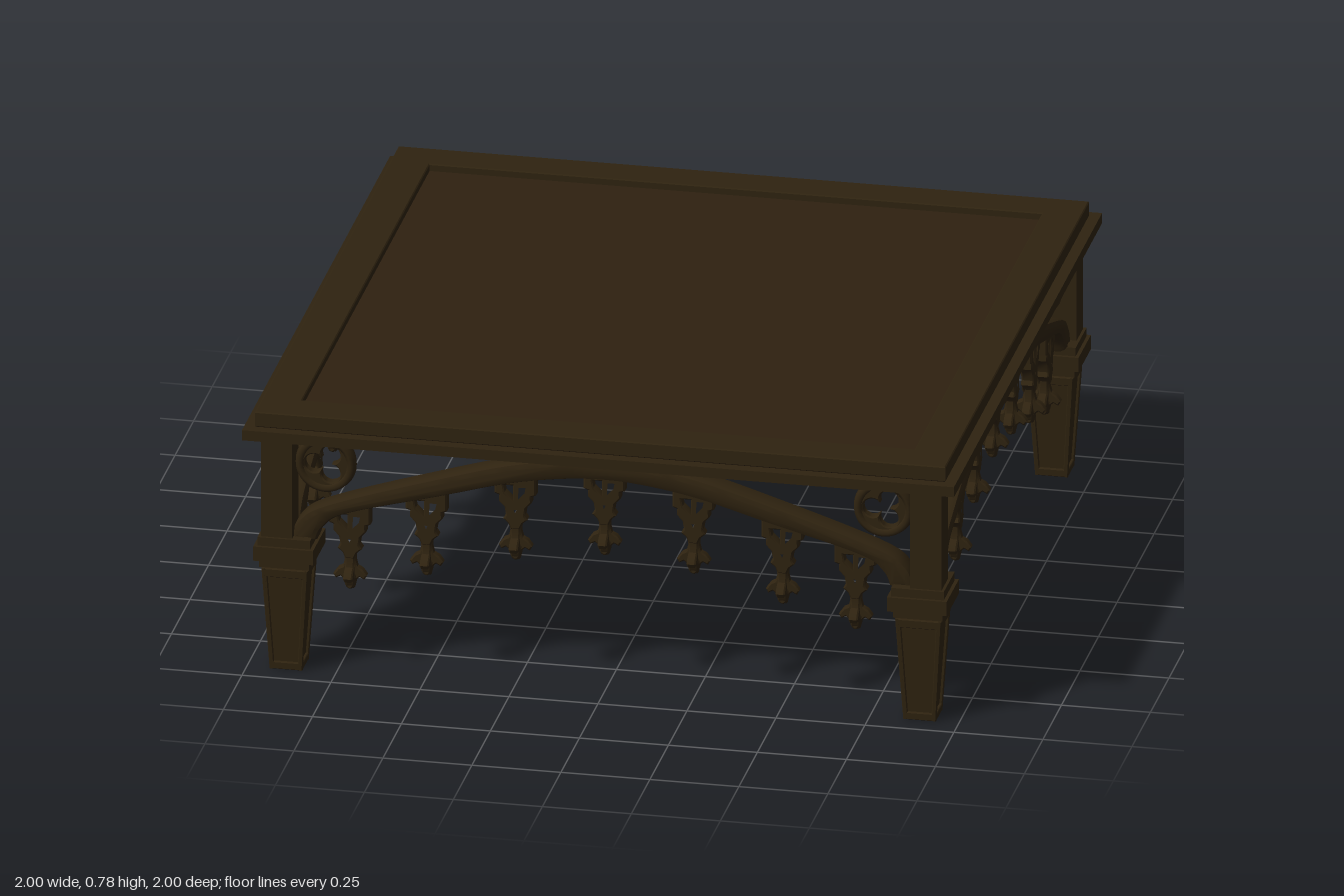
import * as THREE from 'three';
import { toCreasedNormals } from 'three/addons/utils/BufferGeometryUtils.js';

const mat = (name, color) => {
  const m = new THREE.MeshStandardMaterial({ color });
  m.name = name;
  return m;
};
const wood = mat('dark oak', 0x2f2310);
const panelWood = mat('panel oak', 0x2e2010);
const maroon = mat('maroon underside', 0x5a3a30);

const V = (x, y) => new THREE.Vector2(x, y);

function add(parent, name, geo, material, x = 0, y = 0, z = 0) {
  const m = new THREE.Mesh(geo, material);
  m.name = name;
  m.position.set(x, y, z);
  parent.add(m);
  return m;
}
const box = (w, h, d) => new THREE.BoxGeometry(w, h, d);

// Bevelled plate, centred on z = 0, that keeps the outline of its shape
function plate(shape, depth, bevel = 0, segs = 1) {
  const g = new THREE.ExtrudeGeometry(shape, {
    depth: depth - 2 * bevel, bevelEnabled: bevel > 0, bevelThickness: bevel,
    bevelSize: bevel, bevelOffset: -bevel, bevelSegments: segs, curveSegments: 20,
  });
  g.translate(0, 0, -depth / 2 + bevel);
  return toCreasedNormals(g, 0.6);
}
// Symmetric outline from its right half, listed top to bottom
const mirrored = (half) =>
  new THREE.Shape([...half, ...half.slice().reverse().map((p) => [-p[0], p[1]])].map((p) => V(...p)));

// Three-lobed opening traced from three overlapping circles
function trefoil(turn) {
  const pts = [];
  const d = 0.031, r = 0.027;
  for (let i = 0; i < 48; i++) {
    const a = (i / 48) * Math.PI * 2;
    const off = ((a + Math.PI / 3) % (Math.PI * 2 / 3)) - Math.PI / 3;
    const s = d * Math.sin(off);
    const rad = d * Math.cos(off) + Math.sqrt(Math.max(0, r * r - s * s));
    pts.push(V(rad * Math.cos(a + turn), rad * Math.sin(a + turn)));
  }
  return new THREE.Path(pts);
}

function squareShape(h) {
  return new THREE.Shape([V(-h, -h), V(h, -h), V(h, h), V(-h, h)]);
}

function tableTop() {
  const g = new THREE.Group();
  g.name = 'tableTop';
  add(g, 'lowerSlab', box(2, 0.03, 2), wood, 0, 0.715, 0);
  const rim = squareShape(0.97);
  rim.holes.push(squareShape(0.86));
  add(g, 'topRim', plate(rim, 0.045, 0.003), wood, 0, 0.7525, 0).rotation.x = -Math.PI / 2;
  add(g, 'recessedPanel', box(1.73, 0.025, 1.73), panelWood, 0, 0.742, 0);
  // Wavy-edged patch on the underside
  const pts = [];
  for (let i = 0; i < 120; i++) {
    const a = (i / 120) * Math.PI * 2;
    const s = 0.67 + 0.13 * Math.abs(Math.sin(2 * a)) ** 4 + 0.018 * Math.sin(9 * a) + 0.01 * Math.sin(23 * a);
    const k = s / Math.max(Math.abs(Math.cos(a)), Math.abs(Math.sin(a)));
    pts.push(V(k * Math.cos(a), k * Math.sin(a)));
  }
  add(g, 'undersidePatch', new THREE.ShapeGeometry(new THREE.Shape(pts)), maroon, 0, 0.697, 0).rotation.x = Math.PI / 2;
  return g;
}

// Corner leg: tapered foot with framed faces, stepped collar, square post
function leg() {
  const g = new THREE.Group();
  g.name = 'leg';
  const foot = new THREE.CylinderGeometry(0.057 * Math.SQRT2, 0.038 * Math.SQRT2, 0.31, 4).toNonIndexed();
  foot.rotateY(Math.PI / 4);
  foot.computeVertexNormals();
  add(g, 'footCore', foot, wood, 0, 0.155, 0);
  const outline = new THREE.Shape([V(-0.046, 0), V(0.046, 0), V(0.065, 0.305), V(-0.065, 0.305)]);
  outline.holes.push(new THREE.Path([V(-0.034, 0.022), V(0.034, 0.022), V(0.049, 0.28), V(-0.049, 0.28)]));
  const frame = plate(outline, 0.01, 0.002);
  for (let i = 0; i < 4; i++) {
    const face = new THREE.Group();
    face.name = 'footFace';
    face.rotation.y = i * Math.PI / 2;
    add(face, 'footFrame', frame, wood, 0, 0, 0.041).rotation.x = 0.062;
    g.add(face);
  }
  // [width, bottom, top] of the collar steps
  for (const [w, a, b] of [[0.14, 0.31, 0.335], [0.168, 0.333, 0.375], [0.148, 0.373, 0.4]])
    add(g, 'collar', box(w, b - a, w), wood, 0, (a + b) / 2, 0);
  add(g, 'post', box(0.088, 0.31, 0.088), wood, 0.022, 0.55, 0.022);
  return g;
}

// Arched rail drawn between an outer and an inner curve
const OUTER = [[-0.875, 0.39], [-0.855, 0.45], [-0.77, 0.505], [-0.47, 0.605], [-0.23, 0.672], [0, 0.698]];
const INNER = [[-0.805, 0.39], [-0.785, 0.432], [-0.72, 0.475], [-0.47, 0.545], [-0.23, 0.61], [0, 0.636]];
function archCurve(half) {
  const all = [...half, ...half.slice(0, -1).reverse().map((p) => [-p[0], p[1]])];
  return new THREE.SplineCurve(all.map((p) => V(...p))).getPoints(60);
}
const innerPoints = archCurve(INNER);
const archGeo = plate(new THREE.Shape([...archCurve(OUTER), ...innerPoints.slice().reverse()]), 0.08, 0.018, 2);

// Hanging ornament: pierced bracket and a crossed leaf drop
const bracketShape = mirrored([[0.058, 0], [0.058, -0.055], [0.045, -0.06], [0.046, -0.078], [0.03, -0.095],
  [0.026, -0.118], [0.034, -0.13], [0.02, -0.142], [0.012, -0.16]]);
for (const s of [-1, 1])
  bracketShape.holes.push(new THREE.Path([V(s * 0.006, -0.03), V(s * 0.034, -0.03), V(s * 0.03, -0.052), V(s * 0.006, -0.075)]));
bracketShape.holes.push(new THREE.Path([V(-0.009, -0.098), V(0.009, -0.098), V(0, -0.118)]));
const bracketGeo = plate(bracketShape, 0.036, 0.004);
const leafGeo = plate(mirrored([[0.018, -0.135], [0.015, -0.165], [0.02, -0.185], [0.034, -0.192], [0.047, -0.21],
  [0.04, -0.222], [0.027, -0.215], [0.018, -0.222], [0.014, -0.24], [0.004, -0.252]]), 0.026, 0.004);

function pendant() {
  const g = new THREE.Group();
  g.name = 'pendant';
  add(g, 'bracket', bracketGeo, wood);
  add(g, 'leafDrop', leafGeo, wood);
  add(g, 'leafDropCross', leafGeo, wood).rotation.y = Math.PI / 2;
  add(g, 'bud', new THREE.SphereGeometry(0.022, 10, 8), wood, 0, -0.213, 0);
  return g;
}

// One side: arch, pierced roundels in the corners, seven pendants
function side(turns) {
  const g = new THREE.Group();
  g.name = 'sideArch';
  const z = 0.9;
  add(g, 'arch', archGeo, wood, 0, 0, z);
  turns.forEach((turn, i) => {
    const x = i ? 0.784 : -0.784;
    const disc = new THREE.Shape().absarc(0, 0, 0.078, 0, Math.PI * 2);
    disc.holes.push(trefoil(turn));
    add(g, 'roundel', plate(disc, 0.032, 0.004), wood, x, 0.613, z);
    add(g, 'roundelRing', new THREE.TorusGeometry(0.072, 0.014, 8, 32), wood, x, 0.613, z).scale.z = 1.8;
  });
  for (const x of [-0.715, -0.5, -0.25, 0, 0.25, 0.5, 0.705]) {
    const near = innerPoints.reduce((a, b) => (Math.abs(b.x - x) < Math.abs(a.x - x) ? b : a));
    const p = pendant();
    p.position.set(x, near.y + 0.022, z);
    g.add(p);
  }
  return g;
}

export function createModel() {
  const model = new THREE.Group();
  model.name = 'table';
  model.add(tableTop());
  const P = Math.PI;
  // Trefoil turns of the left and right roundel on each side
  [[P, P], [P, P], [P, 0], [0, P]].forEach((turns, i) => {
    const s = side(turns);
    s.rotation.y = i * P / 2;
    model.add(s);
    const corner = new THREE.Group();
    corner.name = 'corner';
    const l = leg();
    l.position.set(0.89, 0, 0.89);
    corner.add(l);
    corner.rotation.y = i * P / 2;
    model.add(corner);
  });
  return model;
}
